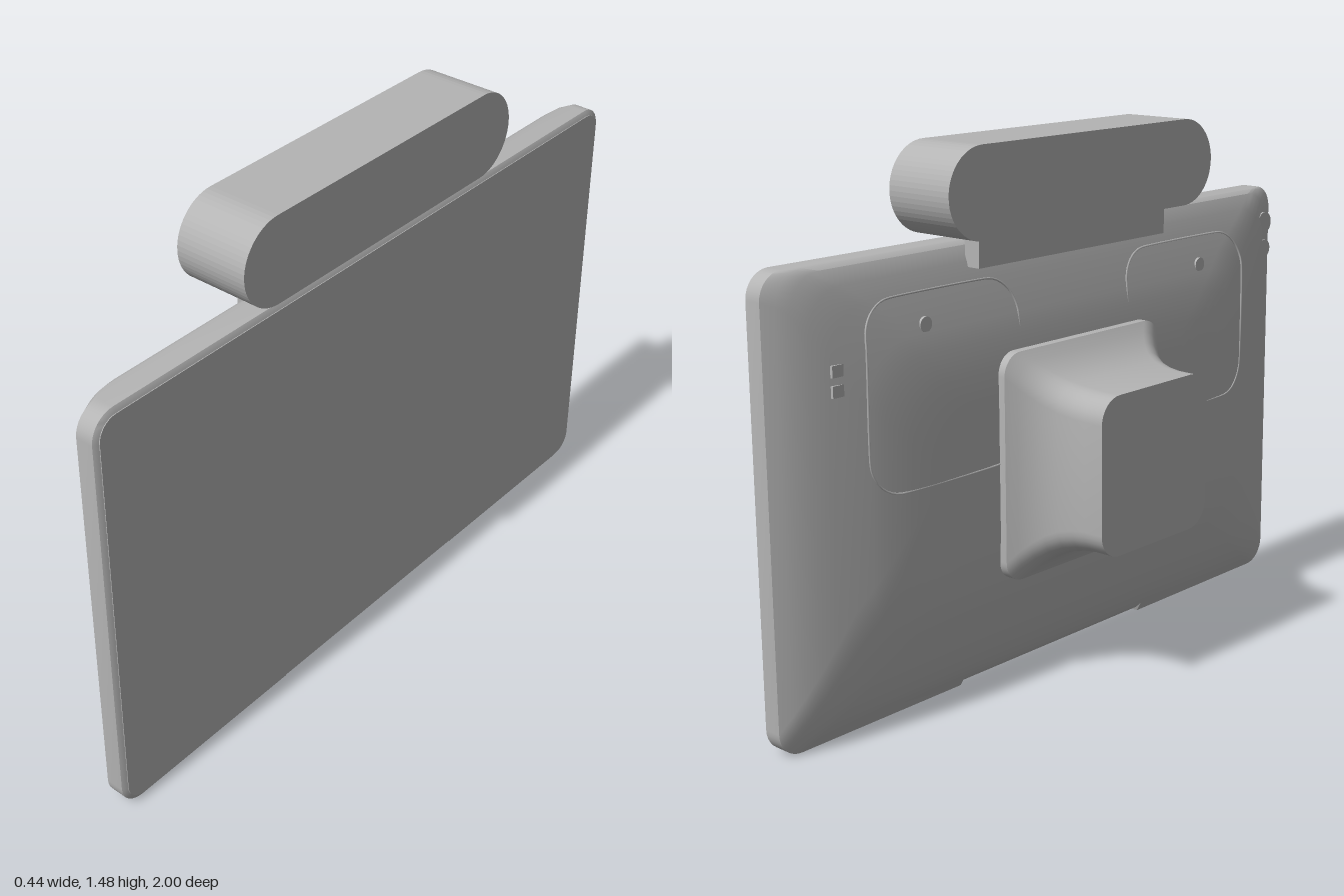
import * as THREE from 'three';
import { toCreasedNormals } from 'three/addons/utils/BufferGeometryUtils.js';

const H = 1.22, NOTCH = 0.37;

// Back curve of the tablet: [distance in from the edge, x], centre to rim
const BACK = [[0.45, 0.05], [0.38, 0.052], [0.3, 0.058], [0.25, 0.066], [0.2, 0.077],
  [0.15, 0.088], [0.1, 0.102], [0.06, 0.117], [0.03, 0.132], [0, 0.15]];

// Rounded rectangle in the zy plane, counter-clockwise in (z, y)
function ring(x, z0, z1, y0, y1, r, notch = false) {
  const pts = [];
  [[z1 - r, y1 - r], [z0 + r, y1 - r], [z0 + r, y0 + r], [z1 - r, y0 + r]].forEach(([cz, cy], q) => {
    if (notch && q === 3) {
      for (const z of [-NOTCH - 0.004, -NOTCH, NOTCH, NOTCH + 0.004]) {
        const y = Math.abs(z) <= NOTCH ? Math.max(y0, 0.012) : y0;
        pts.push(new THREE.Vector3(x, y, z));
      }
    }
    for (let i = 0; i <= 8; i++) {
      const a = (q + i / 8) * Math.PI / 2;
      pts.push(new THREE.Vector3(x, cy + r * Math.sin(a), cz + r * Math.cos(a)));
    }
  });
  return pts;
}

// Closed skin over rings ordered from -x to +x
function loft(rings, crease = 0.6) {
  const pos = [], n = rings[0].length;
  const tri = (...p) => p.forEach(v => pos.push(v.x, v.y, v.z));
  const centre = r => r.reduce((s, v) => s.add(v), new THREE.Vector3()).divideScalar(n);
  const first = rings[0], last = rings[rings.length - 1];
  const c0 = centre(first), c1 = centre(last);
  for (let j = 0; j < n; j++) {
    const k = (j + 1) % n;
    tri(c0, first[j], first[k]);
    tri(c1, last[k], last[j]);
    for (let i = 0; i < rings.length - 1; i++) {
      const a = rings[i], b = rings[i + 1];
      tri(a[j], b[j], b[k]);
      tri(a[j], b[k], a[k]);
    }
  }
  const g = new THREE.BufferGeometry();
  g.setAttribute('position', new THREE.Float32BufferAttribute(pos, 3));
  return toCreasedNormals(g, crease);
}

// x of the tablet's back surface at a given place
function backX(y, z) {
  const d = Math.min(1 - Math.abs(z), y, H - y + 0.05);
  for (let i = 1; i < BACK.length; i++) {
    const [d0, x0] = BACK[i - 1], [d1, x1] = BACK[i];
    if (d >= d1) return THREE.MathUtils.lerp(x1, x0, Math.min(1, (d - d1) / (d0 - d1)));
  }
  return 0.15;
}

export function createModel() {
  const group = new THREE.Group();
  const grey = new THREE.MeshStandardMaterial({ color: 0xb4b4b4 });
  grey.name = 'grey';
  const add = (name, geometry, x = 0, y = 0, z = 0) => {
    const m = new THREE.Mesh(geometry, grey);
    m.name = name;
    m.position.set(x, y, z);
    group.add(m);
    return m;
  };

  // Tablet body: domed back, straight rim, small bevel at the screen
  const shell = BACK.map(([d, x]) => {
    const top = H - Math.max(0, d - 0.05);
    return ring(x, d - 1, 1 - d, d, top, Math.min(0.15, 0.07 + d * 0.4), true);
  });
  for (const [x, d] of [[0.2, 0], [0.207, 0.012]]) {
    shell.push(ring(x, d - 1, 1 - d, d, H - d, 0.07 - d, true));
  }
  add('tabletBody', loft(shell));

  // Screen glass
  add('screen', loft([ring(0.2, -0.985, 0.985, 0.015, H - 0.015, 0.055),
    ring(0.209, -0.985, 0.985, 0.015, H - 0.015, 0.055)]));

  // Flared rear mount
  const flare = [[-0.22, 0.2175, 0.07], [-0.16, 0.218, 0.07], [-0.12, 0.222, 0.07], [-0.08, 0.231, 0.07],
    [-0.045, 0.245, 0.068], [-0.015, 0.265, 0.066], [0.01, 0.288, 0.063], [0.03, 0.3125, 0.06], [0.06, 0.3125, 0.06]];
  add('rearMount', loft(flare.map(([x, h, r]) => ring(x, -h, h, 0.613 - h, 0.613 + h, r))));

  // Pill-shaped bar on top
  const pill = new THREE.Shape();
  pill.absarc(0.4, 0, 0.12, -Math.PI / 2, Math.PI / 2);
  pill.absarc(-0.4, 0, 0.12, Math.PI / 2, Math.PI * 1.5);
  pill.closePath();
  const bar = add('topBar', new THREE.ExtrudeGeometry(pill, { depth: 0.21, bevelEnabled: false, curveSegments: 14 }),
    0.01, 1.355, 0);
  bar.rotation.y = Math.PI / 2;

  // Bracket joining bar and tablet
  add('barBracket', new THREE.BoxGeometry(0.05, 0.085, 0.74), 0.083, 1.198, 0);

  // Seams of the two back covers
  for (const s of [-1, 1]) {
    const outline = ring(0, 0.22, 0.75, 0.63, 1.12, 0.1)
      .map(p => new THREE.Vector3(backX(p.y, p.z), p.y, p.z * s));
    add('coverSeam', new THREE.TubeGeometry(new THREE.CatmullRomCurve3(outline, true), 120, 0.003, 5, true));
  }

  // Round details on the back: two lenses and two cover screws
  const disc = (name, y, z, r) => {
    const m = add(name, new THREE.CylinderGeometry(r, r, 0.008, 24), backX(y, z), y, z);
    m.rotation.z = Math.PI / 2;
  };
  disc('lens', 1.115, 0.92, 0.032);
  disc('lens', 1.035, 0.92, 0.028);
  for (const s of [-1, 1]) disc('coverScrew', 1.04, 0.55 * s, 0.02);

  // Small ports on the back
  for (const y of [0.97, 0.92]) {
    add('port', new THREE.BoxGeometry(0.008, 0.03, 0.035), backX(y, -0.83), y, -0.83);
  }

  return group;
}
